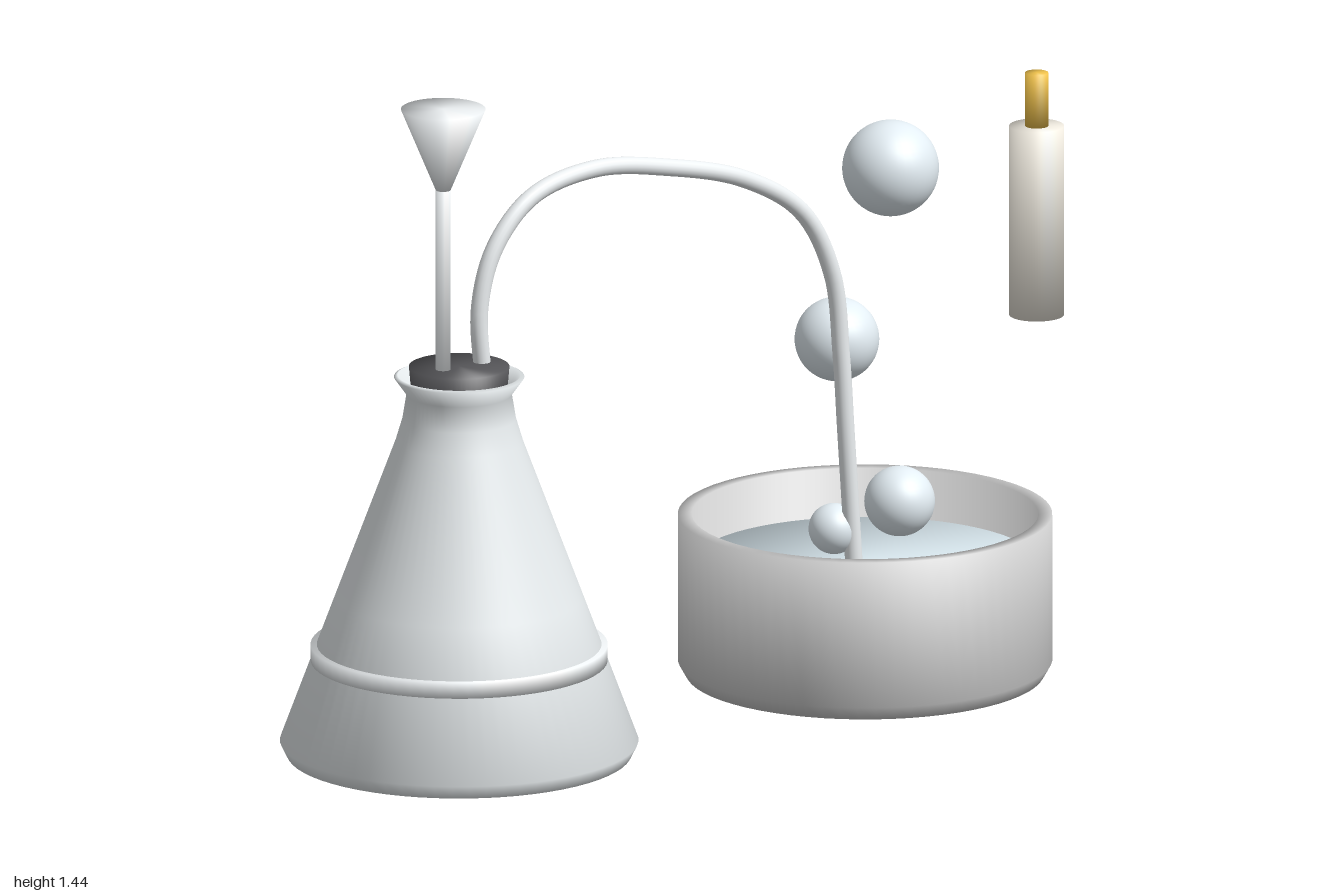
import * as THREE from 'three';

const material = (color, side = THREE.FrontSide) =>
  new THREE.MeshStandardMaterial({ color, side });

// Turned shape, profile as [radius, height] from the bottom up.
// Each corner takes the even average of its two neighbouring slopes, for soft shading.
function turnedGeometry(profile, segments = 64) {
  const geometry = new THREE.LatheGeometry(profile.map(([r, y]) => new THREE.Vector2(r, y)), segments);
  const slopes = profile.slice(1).map(([r, y], i) =>
    new THREE.Vector2(y - profile[i][1], profile[i][0] - r).normalize());
  const normals = profile.map((_, i) =>
    (slopes[i - 1] ?? slopes[i]).clone().add(slopes[i] ?? slopes[i - 1]).normalize());
  for (let s = 0; s <= segments; s++) {
    const angle = (s / segments) * Math.PI * 2;
    normals.forEach((n, i) => geometry.attributes.normal.setXYZ(
      s * profile.length + i, n.x * Math.sin(angle), n.y, n.x * Math.cos(angle)));
  }
  return geometry;
}

export function createModel() {
  const group = new THREE.Group();
  const glass = material(0xecf0f2);
  const bubbleMat = material(0xe4eef4);

  const add = (name, geometry, mat, x, y = 0, z = 0) => {
    const mesh = new THREE.Mesh(geometry, mat);
    mesh.name = name;
    mesh.position.set(x, y, z);
    group.add(mesh);
  };
  // Closed upright cylinder or cone given by its bottom and top
  const post = (name, rBottom, rTop, y0, y1, mat, x) =>
    add(name, turnedGeometry([[0, y0], [rBottom, y0], [rTop, y1], [0, y1]]), mat, x);

  // Conical flask with flared lip, raised band and stopper
  const flaskX = -0.615;
  add('flask', turnedGeometry([
    [0, 0], [0.37, 0], [0.385, 0.03], [0.266, 0.35], [0.137, 0.695],
    [0.122, 0.745], [0.113, 0.8], [0.14, 0.838], [0.132, 0.842], [0.108, 0.8],
  ]), material(0xe6ebed, THREE.DoubleSide), flaskX);
  post('flaskBand', 0.319, 0.319, 0.208, 0.243, glass, flaskX);
  post('stopper', 0.1, 0.108, 0.77, 0.861, material(0x555558), flaskX);

  // Funnel through the stopper
  const funnelX = -0.658;
  post('funnelStem', 0.016, 0.016, 0.8, 1.27, glass, funnelX);
  post('funnelCone', 0.014, 0.091, 1.255, 1.44, glass, funnelX);

  // Bent delivery tube from the stopper into the water
  const path = new THREE.CatmullRomCurve3([
    [-0.55, 0.82], [-0.56, 0.98], [-0.52, 1.107], [-0.42, 1.205], [-0.25, 1.24], [-0.05, 1.21],
    [0.155, 1.15], [0.31, 1.05], [0.39, 0.9], [0.414, 0.715], [0.426, 0.55], [0.44, 0.36], [0.45, 0.22],
  ].map(([x, y]) => new THREE.Vector3(x, y, 0)));
  add('deliveryTube', new THREE.TubeGeometry(path, 96, 0.019, 16), glass, 0);

  // Water trough
  const troughX = 0.478;
  add('trough', turnedGeometry([
    [0, 0], [0.385, 0], [0.402, 0.03], [0.402, 0.353], [0.372, 0.353], [0.372, 0.05], [0, 0.05],
  ]), material(0xf2f4f5), troughX);
  post('water', 0.37, 0.37, 0.06, 0.245, material(0xdcebf2), troughX);

  // Rising bubbles: x, y, z, radius
  [
    [0.425, 0.32, -0.04, 0.055],
    [0.518, 0.39, 0.07, 0.076],
    [0.478, 0.72, -0.1, 0.091],
    [0.577, 1.097, -0.04, 0.104],
  ].forEach(([x, y, z, r], i) =>
    add(`bubble${i + 1}`, new THREE.SphereGeometry(r, 40, 28), bubbleMat, x, y, z));

  // Floating taper with golden tip
  post('taper', 0.059, 0.059, 0.72, 1.14, material(0xf0ebe0), 0.94);
  post('taperTip', 0.025, 0.025, 1.14, 1.258, material(0xf0c24c), 0.94);

  return group;
}
